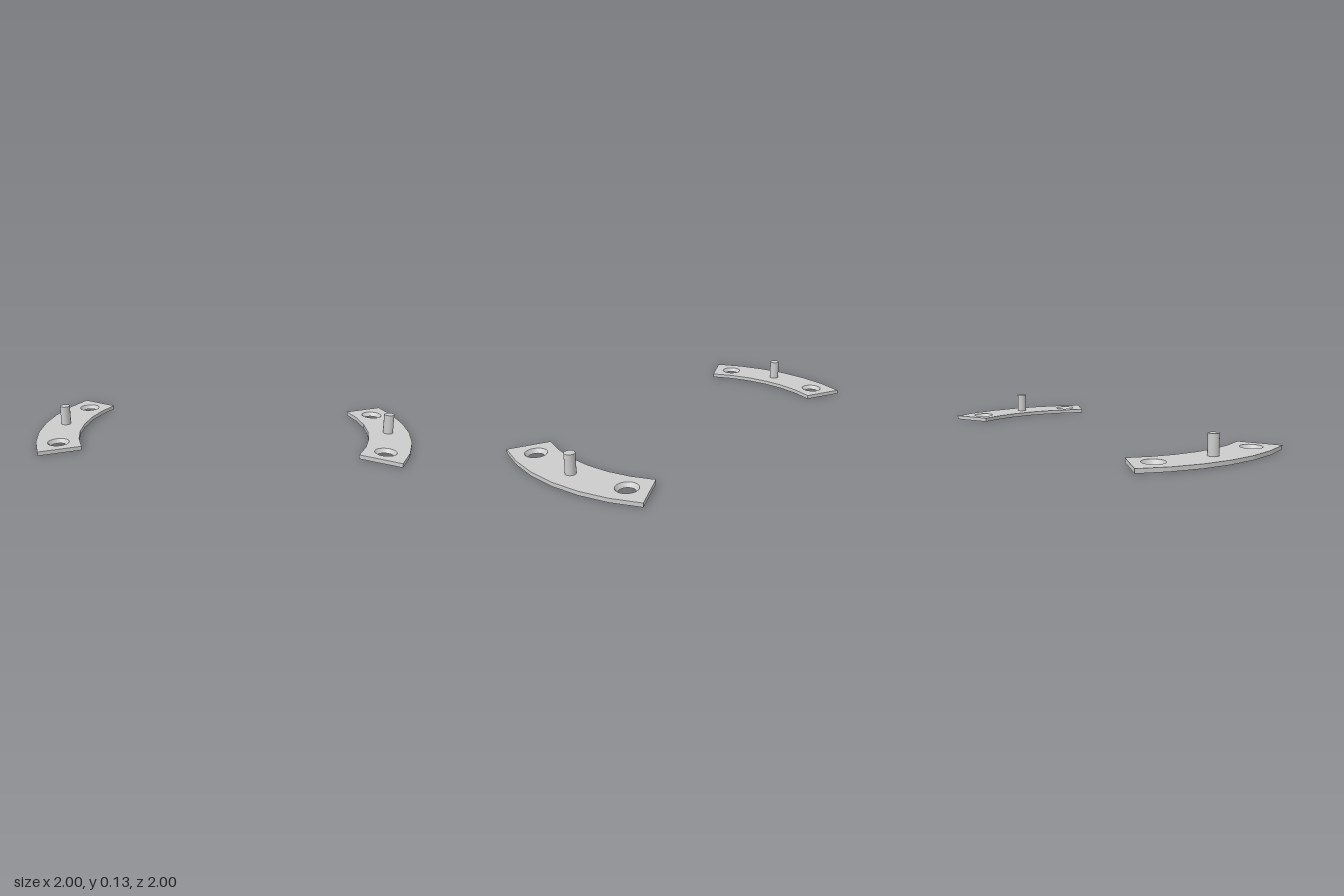
import * as THREE from 'three';

const THICK = 0.022, R_OUT = 1.055, R_IN = 0.823, R_MID = 0.935;
const START = THREE.MathUtils.degToRad(18.6), END = Math.PI / 2 - START;
const HOLE_TOP = 0.058, HOLE_BOTTOM = 0.042;
const HOLE_ANGLES = [25.4, 64.6].map(THREE.MathUtils.degToRad);
const polar = (r, a) => new THREE.Vector2(r * Math.cos(a), r * Math.sin(a));

// Faceted arc plate with two tapered screw holes
function plateGeometry() {
  const steps = 6, outer = [], inner = [];
  for (let i = 0; i <= steps; i++) {
    const a = START + (END - START) * i / steps;
    outer.push(polar(R_OUT, a));
    inner.unshift(polar(R_IN, a));
  }
  const shape = new THREE.Shape([...outer, ...inner]);
  const centres = HOLE_ANGLES.map(a => polar(R_MID, a));
  for (const c of centres) {
    shape.holes.push(new THREE.Path().absarc(c.x, c.y, HOLE_BOTTOM, 0, Math.PI * 2, true));
  }
  const geo = new THREE.ExtrudeGeometry(shape, { depth: THICK, bevelEnabled: false, curveSegments: 32 });

  // Lay flat, with the z = 0 cap becoming the top
  geo.rotateX(Math.PI / 2).translate(0, THICK, 0);

  // Widen the upper rim of each hole into a countersink
  const p = geo.attributes.position;
  for (let i = 0; i < p.count; i++) {
    if (p.getY(i) < THICK / 2) continue;
    for (const c of centres) {
      const dx = p.getX(i) - c.x, dz = p.getZ(i) - c.y;
      if (Math.hypot(dx, dz) < HOLE_BOTTOM * 1.05) {
        const k = HOLE_TOP / HOLE_BOTTOM;
        p.setXYZ(i, c.x + dx * k, p.getY(i), c.y + dz * k);
        break;
      }
    }
  }
  geo.computeVertexNormals();
  return geo;
}

export function createModel() {
  const model = new THREE.Group();
  model.name = 'bracketPair';
  const material = new THREE.MeshStandardMaterial({ color: 0xcccccc });
  const plateGeo = plateGeometry();

  // Upright locating pin standing on the plate
  const pinHeight = 0.13 - THICK;
  const pinGeo = new THREE.CylinderGeometry(0.028, 0.028, pinHeight, 32);
  const pinPos = polar(R_MID, Math.PI / 4);

  // Two identical brackets, half a turn apart
  ['frontBracket', 'backBracket'].forEach((name, i) => {
    const bracket = new THREE.Group();
    bracket.name = name;
    const plate = new THREE.Mesh(plateGeo, material);
    plate.name = 'arcPlate';
    const pin = new THREE.Mesh(pinGeo, material);
    pin.name = 'locatingPin';
    pin.position.set(pinPos.x, THICK + pinHeight / 2, pinPos.y);
    bracket.add(plate, pin);
    bracket.rotation.y = i * Math.PI;
    model.add(bracket);
  });
  return model;
}
